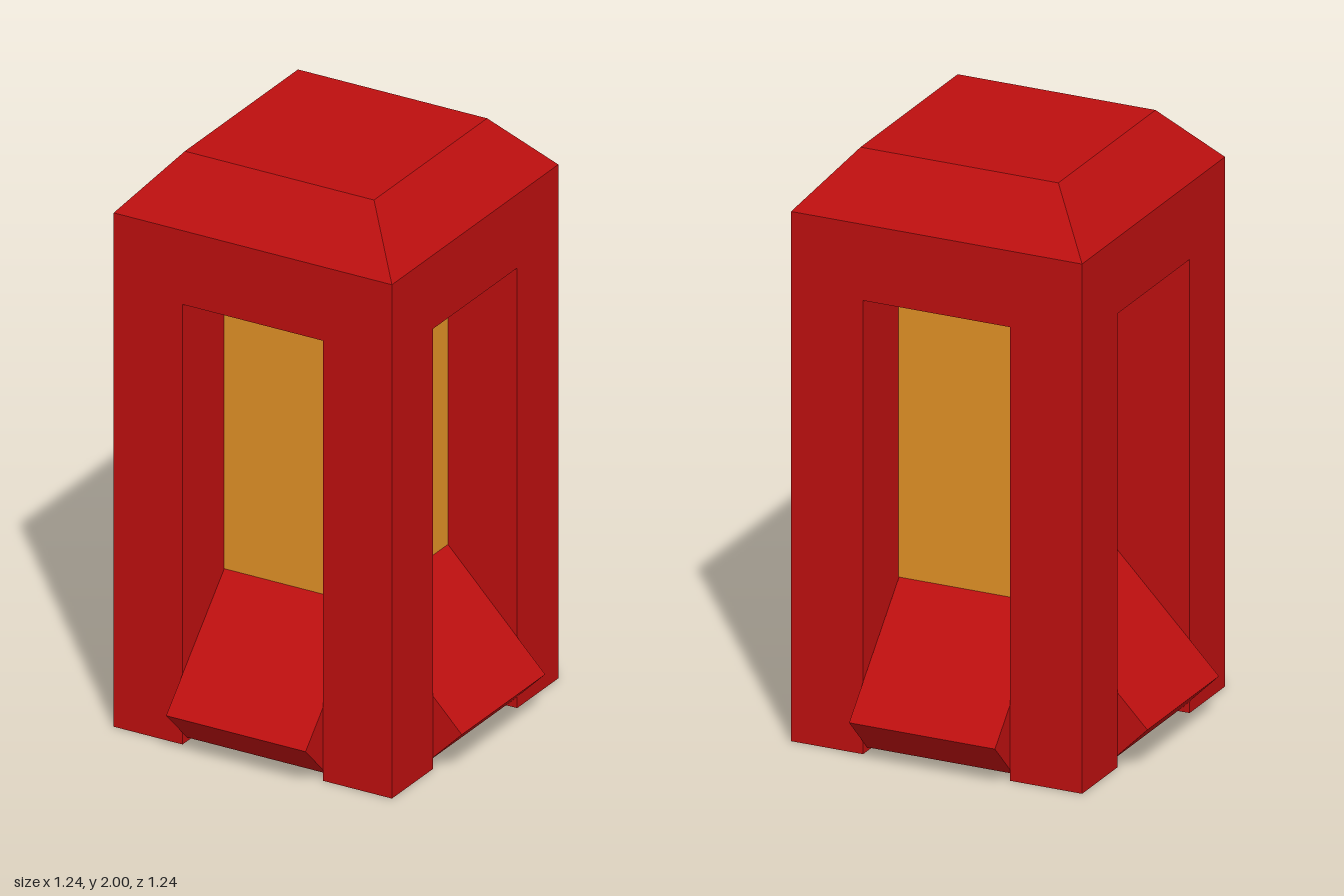
import * as THREE from 'three';

const W = 0.515;   // half width of the body
const C = 0.26;    // half width of the openings and of the core
const EAVE = 1.81, TOP = 2, HEAD = 1.55, SILL = 0.515;

const red = new THREE.MeshStandardMaterial({ color: 0xbc0f0f, side: THREE.DoubleSide });
red.name = 'red paint';
const amber = new THREE.MeshStandardMaterial({ color: 0xe09026, side: THREE.DoubleSide });
amber.name = 'amber glass';

// Flat four-cornered faces, corners counter-clockwise from the front
function quads(name, material, list) {
  const positions = list.flatMap(([a, b, c, d]) => [a, b, c, a, c, d]).flat();
  const geometry = new THREE.BufferGeometry();
  geometry.setAttribute('position', new THREE.Float32BufferAttribute(positions, 3));
  geometry.computeVertexNormals();
  const mesh = new THREE.Mesh(geometry, material);
  mesh.name = name;
  return mesh;
}

function shapeOf(points) {
  return new THREE.Shape(points.map(([x, y]) => new THREE.Vector2(x, y)));
}

function createSide() {
  const side = new THREE.Group();

  // Outer wall with a tall opening that runs down to the ground
  const wall = new THREE.Mesh(new THREE.ShapeGeometry(shapeOf([
    [-W, 0], [-C, 0], [-C, HEAD], [C, HEAD], [C, 0], [W, 0], [W, EAVE], [-W, EAVE],
  ])), red);
  wall.position.z = W;
  wall.name = 'outerWall';
  side.add(wall);

  // Jambs and head of the recess; the posts stay hollow below
  side.add(quads('recessFrame', red, [
    [[-C, 0, W], [-C, 0, C], [-C, HEAD, C], [-C, HEAD, W]],
    [[C, 0, C], [C, 0, W], [C, HEAD, W], [C, HEAD, C]],
    [[-C, HEAD, C], [C, HEAD, C], [C, HEAD, W], [-C, HEAD, W]],
  ]));

  // Glass at the back of the recess
  side.add(quads('windowPanel', amber, [
    [[-C, SILL, C], [C, SILL, C], [C, HEAD, C], [-C, HEAD, C]],
  ]));

  // Thick sloping sill that sticks out between the posts
  const sill = new THREE.Mesh(new THREE.ExtrudeGeometry(shapeOf([
    [C, SILL], [C, 0.255], [0.49, 0.015], [0.62, 0.145],
  ]), { depth: 2 * C - 0.004, bevelEnabled: false }), red);
  sill.rotation.y = -Math.PI / 2;
  sill.position.x = C - 0.002;
  sill.name = 'slopedSill';
  side.add(sill);

  // Bevelled roof edge
  const R = 0.35;
  side.add(quads('roofBevel', red, [
    [[-W, EAVE, W], [W, EAVE, W], [R, TOP, R], [-R, TOP, R]],
  ]));
  return side;
}

export function createModel() {
  const model = new THREE.Group();
  model.name = 'lantern';

  // Four equal sides
  ['front', 'left', 'back', 'right'].forEach((name, i) => {
    const side = createSide();
    side.name = name + 'Side';
    side.rotation.y = i * Math.PI / 2;
    model.add(side);
  });

  // Flat roof top
  const roof = new THREE.Mesh(new THREE.PlaneGeometry(0.7, 0.7), red);
  roof.rotation.x = -Math.PI / 2;
  roof.position.y = TOP;
  roof.name = 'roofTop';
  model.add(roof);

  // Underside of the core
  const base = new THREE.Mesh(new THREE.PlaneGeometry(2 * C, 2 * C), red);
  base.rotation.x = Math.PI / 2;
  base.position.y = 0.255;
  base.name = 'coreUnderside';
  model.add(base);
  return model;
}
